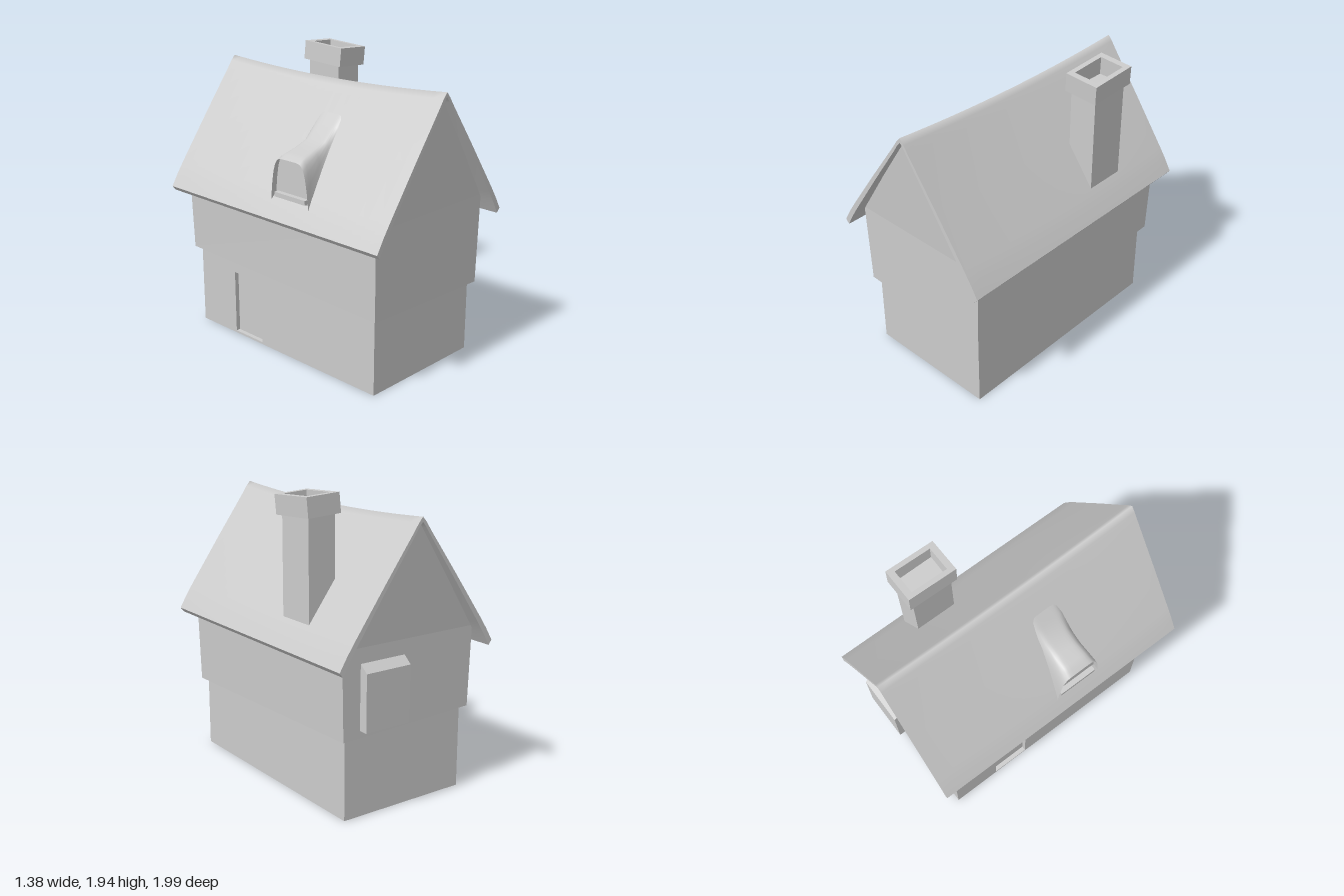
import * as THREE from 'three';

const solid = new THREE.MeshStandardMaterial({ color: 0xcccccc });
const thin = new THREE.MeshStandardMaterial({ color: 0xcccccc, side: THREE.DoubleSide });

// Right half of the roof profile, from ridge to eave: [x, y]
const HALF = [[0, 1.835], [0.03, 1.8], [0.06, 1.755], [0.27, 1.463], [0.49, 1.15], [0.54, 1.075], [0.59, 0.99]];
const PROFILE = [...HALF.slice(1).reverse().map(([x, y]) => [-x, y]), ...HALF];
const ROOF_Z = 0.935;

function sagged(y, z) {
  const dip = -0.045 * (1 - ((z + 0.12) / 1.05) ** 2);
  return y + dip * (y - 0.99) / 0.845;
}

function roofY(x, z) {
  const a = Math.abs(x);
  let i = 0;
  while (i < HALF.length - 2 && HALF[i + 1][0] < a) i++;
  const [p, q] = [HALF[i], HALF[i + 1]];
  return sagged(p[1] + (q[1] - p[1]) * (a - p[0]) / (q[0] - p[0]), z);
}

// Surface through a grid of points; faces along du x dv
function grid(nu, nv, point) {
  const pos = [], index = [];
  for (let j = 0; j <= nv; j++) {
    for (let i = 0; i <= nu; i++) {
      pos.push(...point(i, j));
      if (i < nu && j < nv) {
        const a = j * (nu + 1) + i, c = a + nu + 1;
        index.push(a, a + 1, c, a + 1, c + 1, c);
      }
    }
  }
  const g = new THREE.BufferGeometry();
  g.setAttribute('position', new THREE.Float32BufferAttribute(pos, 3));
  g.setIndex(index);
  g.computeVertexNormals();
  return g;
}

function add(parent, name, geometry, material = solid, position = [0, 0, 0]) {
  const mesh = new THREE.Mesh(geometry, material);
  mesh.name = name;
  mesh.position.set(...position);
  parent.add(mesh);
  return mesh;
}

function outline(points) {
  return new THREE.Shape(points.map(([x, y]) => new THREE.Vector2(x, y)));
}

function extrudeUp(shape, depth) {
  return new THREE.ExtrudeGeometry(shape, { depth, bevelEnabled: false }).rotateX(-Math.PI / 2);
}

// Ground floor with a recessed doorway in its right-hand wall
function buildGroundFloor(house) {
  const g = new THREE.Group();
  g.name = 'groundFloor';
  const w = 0.455, l = 0.805, d = 0.03;
  // Plan as (x, -z)
  const plan = outline([[-w, -l], [w, -l], [w, l], [-w, l], [-w, 0.465], [-w + d, 0.465], [-w + d, 0.2], [-w, 0.2]]);
  add(g, 'threshold', new THREE.BoxGeometry(2 * w, 0.015, 2 * l), solid, [0, 0.0075, 0]);
  add(g, 'doorwayWalls', extrudeUp(plan, 0.435), solid, [0, 0.015, 0]);
  add(g, 'wallsAboveDoor', new THREE.BoxGeometry(2 * w, 0.12, 2 * l), solid, [0, 0.51, 0]);
  house.add(g);
}

// Jettied upper storey: slanting bottom edge, gables leaning outwards
function buildUpperFloor(house) {
  const corners = [[-1, 1], [1, 1], [1, -1], [-1, -1]];
  const pos = [
    ...corners.map(([x, z]) => [x * 0.49, 0.515 - 0.0155 * x - 0.02 * z, z * 0.84]),
    ...corners.map(([x, z]) => [x * 0.505, 1.08, z * 0.845]),
    [0, 1.8, 0.9], [0, 1.79, -0.9]
  ].flat();
  const index = [0, 3, 2, 0, 2, 1, 4, 5, 8, 6, 7, 9];
  for (let i = 0; i < 4; i++) {
    const k = (i + 1) % 4;
    index.push(i, k, 4 + k, i, 4 + k, 4 + i);
  }
  const geo = new THREE.BufferGeometry();
  geo.setAttribute('position', new THREE.Float32BufferAttribute(pos, 3));
  geo.setIndex(index);
  const flat = geo.toNonIndexed();
  flat.computeVertexNormals();
  add(house, 'upperWalls', flat, thin);

  // Shuttered back window with a sloping top
  const side = outline([[0, 0.57], [0.06, 0.57], [0.06, 0.935], [0.0, 0.985]]);
  const win = new THREE.ExtrudeGeometry(side, { depth: 0.33, bevelEnabled: false });
  add(house, 'backWindow', win, solid, [0.04, 0, -0.842]).rotation.y = Math.PI / 2;
}

// Sagging roof sheet: top, underside and the rims between them
function buildRoof(house) {
  const roof = new THREE.Group();
  roof.name = 'roof';
  const nu = PROFILE.length - 1, nv = 24;
  const zAt = (j) => ROOF_Z * (1 - 2 * j / nv);
  const top = (i, z) => [PROFILE[i][0], sagged(PROFILE[i][1], z), z];
  const under = (i, z) => [PROFILE[i][0] * 0.96, sagged(PROFILE[i][1], z) - 0.03, z];
  add(roof, 'roofTop', grid(nu, nv, (i, j) => top(i, zAt(j))), thin);
  add(roof, 'roofUnderside', grid(nu, nv, (i, j) => under(i, -zAt(j))), thin);
  const rim = (i, j, z) => (j ? top(i, z) : under(i, z));
  add(roof, 'frontRim', grid(nu, 1, (i, j) => rim(i, j, ROOF_Z)), thin);
  add(roof, 'backRim', grid(nu, 1, (i, j) => rim(nu - i, j, -ROOF_Z)), thin);
  add(roof, 'leftEave', grid(nv, 1, (i, j) => rim(nu, j, zAt(i))), thin);
  add(roof, 'rightEave', grid(nv, 1, (i, j) => rim(0, j, -zAt(i))), thin);
  house.add(roof);
}

// Dormer swelling out of the right-hand slope
function buildDormer(house) {
  const dormer = new THREE.Group();
  dormer.name = 'dormer';
  const zc = 0.155, n = 16;
  // Rows up the slope: [x, height above roof, half width]
  const rows = [[-0.525, 0.29, 0.165], [-0.49, 0.262, 0.155], [-0.46, 0.232, 0.148], [-0.38, 0.147, 0.13],
    [-0.29, 0.06, 0.115], [-0.2, 0.022, 0.11], [-0.11, 0, 0.1]];
  const point = ([x, h, w], i) => {
    const s = 2 * i / n - 1;
    const z = zc + w * Math.sign(s) * Math.abs(s) ** 0.6;
    return [x, roofY(x, z) - 0.008 + h * (1 - Math.abs(s) ** 4), z];
  };
  add(dormer, 'dormerHood', grid(n, rows.length - 1, (i, j) => point(rows[j], i)), thin);
  const face = [];
  for (let i = 0; i <= n; i++) {
    const p = point(rows[1], i);
    face.push([p[2], p[1]]);
  }
  const pane = add(dormer, 'dormerWindow', new THREE.ShapeGeometry(outline(face)), thin, [rows[1][0], 0, 0]);
  pane.rotation.y = -Math.PI / 2;
  add(dormer, 'dormerSill', new THREE.BoxGeometry(0.04, 0.03, 0.27), solid, [-0.505, 1.135, zc]);
  house.add(dormer);
}

// Chimney with a slightly tilted hollow cap
function buildChimney(house) {
  const chimney = new THREE.Group();
  chimney.name = 'chimney';
  chimney.position.set(0.387, 0, -0.346);
  add(chimney, 'chimneyShaft', new THREE.BoxGeometry(0.19, 0.74, 0.275), solid, [0, 1.44, 0]);
  const rect = (w, d) => [[-w, -d], [w, -d], [w, d], [-w, d]];
  const ring = outline(rect(0.118, 0.168));
  ring.holes.push(outline(rect(0.085, 0.125)));
  const cap = add(chimney, 'chimneyCap', extrudeUp(ring, 0.125), solid, [0, 1.795, 0]);
  cap.rotation.set(0.05, 0, -0.06);
  house.add(chimney);
}

export function createModel() {
  const model = new THREE.Group();
  model.name = 'cottage';
  const house = new THREE.Group();
  house.name = 'house';
  house.rotation.y = 0.113;
  house.position.x = -0.005;
  buildGroundFloor(house);
  buildUpperFloor(house);
  buildRoof(house);
  buildDormer(house);
  buildChimney(house);
  model.add(house);
  return model;
}
